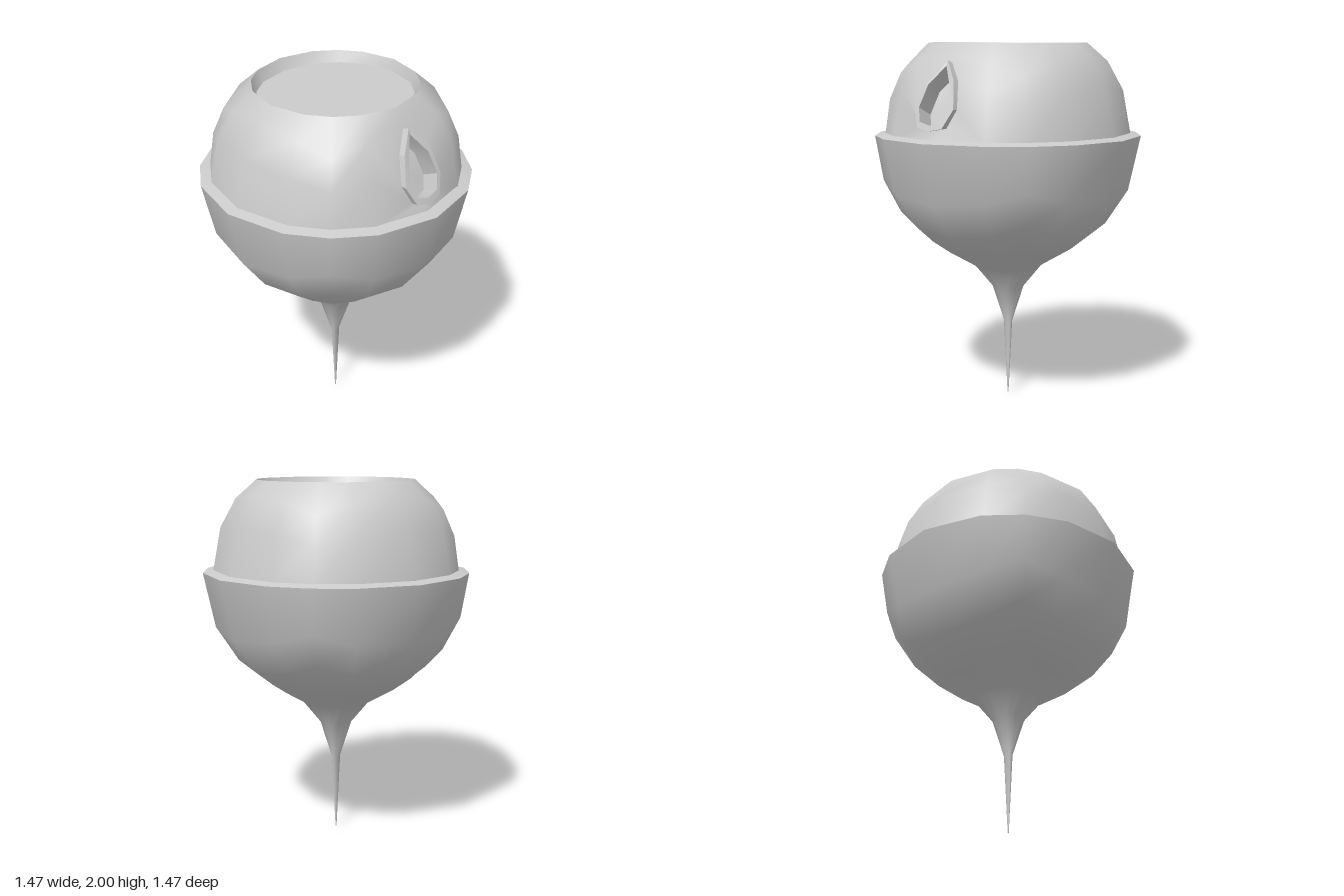
import * as THREE from 'three';
import { mergeGeometries, mergeVertices, toCreasedNormals } from 'three/addons/utils/BufferGeometryUtils.js';

const V = (x, y, z) => new THREE.Vector3(x, y, z);
const EQUATOR = 1.5;

// 16 points around the edge of a square; pushed onto a sphere they give the even, boxy-sphere layout
const wave = (k) => {
  k = ((k % 16) + 16) % 16;
  const v = k <= 8 ? (4 - Math.abs(k - 4)) / 2 : -(4 - Math.abs(k - 12)) / 2;
  return THREE.MathUtils.clamp(v, -1, 1);
};
const around = (fn) => Array.from({ length: 16 }, (_, k) => fn(wave(k), wave(k + 4)));

// ring on a sphere: square of half-width s at height h, projected to radius R
const sphereRing = (R, h, s = 1) => around((x, z) => {
  const p = V(x * s, h, z * s).setLength(R);
  p.y += EQUATOR;
  return p;
});

// horizontal round or oval ring
const ovalRing = (rx, y, rz = rx) => around((x, z) => {
  const l = Math.hypot(x, z);
  return V((x / l) * rx, y, (z / l) * rz);
});

// skin through closed rings, with optional skipped cells and a closing fan at the end
function loft(rings, { skip = () => false, cap = false } = {}) {
  const n = rings[0].length;
  const pts = rings.flat();
  const index = [];
  for (let i = 0; i < rings.length - 1; i++) {
    for (let j = 0; j < n; j++) {
      if (skip(i, j)) continue;
      const a = i * n + j, b = i * n + (j + 1) % n;
      index.push(a, b, b + n, a, b + n, a + n);
    }
  }
  if (cap) {
    const last = rings[rings.length - 1];
    const c = last.reduce((s, p) => s.add(p), V(0, 0, 0)).divideScalar(n);
    const base = (rings.length - 1) * n;
    for (let j = 0; j < n; j++) index.push(base + j, base + (j + 1) % n, pts.length);
    pts.push(c);
  }
  const g = new THREE.BufferGeometry().setFromPoints(pts);
  g.setIndex(index);
  g.computeVertexNormals();
  return g;
}

// teardrop of 8 points, anticlockwise from the bottom, from five points of its right half
const teardrop = (half) => [
  ...half.map((p) => V(...p)),
  ...half.slice(1, 4).reverse().map(([x, y, z]) => V(-x, y, z)),
];

export function createModel() {
  const group = new THREE.Group();
  const material = new THREE.MeshStandardMaterial({ color: 0xcccccc, side: THREE.DoubleSide });
  const add = (name, geometry) => {
    const mesh = new THREE.Mesh(geometry, material);
    mesh.name = name;
    group.add(mesh);
  };

  // lower bowl running down into a thin, flattened spike
  const R = 0.735;
  add('lowerBowl', loft([
    ovalRing(0.003, 0),
    ovalRing(0.028, 0.43, 0.013),
    ovalRing(0.09, 0.635, 0.085),
    ovalRing(0.19, 0.76),
    sphereRing(R, -1, 0.5),
    sphereRing(R, -1),
    sphereRing(R, -0.5),
    sphereRing(R, 0),
  ]));
  add('bowlRim', loft([ovalRing(R, EQUATOR), ovalRing(0.675, 1.515)]));

  // teardrop window outlines: on the shell, front of the frame, and its opening
  const base = teardrop([[0, 1.56, 0.645], [0.08, 1.575, 0.635], [0.125, 1.67, 0.605], [0.09, 1.81, 0.55], [0, 1.9, 0.485]]);
  const front = teardrop([[0, 1.56, 0.685], [0.08, 1.575, 0.675], [0.125, 1.67, 0.635], [0.09, 1.815, 0.585], [0, 1.915, 0.522]]);
  const opening = teardrop([[0, 1.59, 0.675], [0.07, 1.605, 0.665], [0.1, 1.675, 0.635], [0.07, 1.79, 0.595], [0, 1.885, 0.532]]);
  const pane = opening.map((p) => p.clone().add(V(0, -0.042, -0.09)));

  // upper dome, with four front cells left out for the window
  const dome = [
    sphereRing(0.68, 0),
    sphereRing(0.68, 0.435),
    sphereRing(0.68, 0.82),
    ovalRing(0.437, 2),
  ];
  dome[2][0].z = 0.475;
  const shell = loft(dome, { skip: (i, j) => i < 2 && (j === 0 || j === 15) });
  const [d0, d1, d2] = dome;
  const gap = [d0[0], d0[1], d1[1], d2[1], d2[0], d2[15], d1[15], d0[15]];
  const surround = loft([gap, base]);
  const skin = mergeGeometries([shell, surround].map((g) => g.deleteAttribute('normal')));
  const domeGeometry = mergeVertices(skin);
  domeGeometry.computeVertexNormals();
  add('upperDome', domeGeometry);

  // sunken lid in the open top
  add('topRecess', toCreasedNormals(loft([ovalRing(0.437, 2), ovalRing(0.418, 1.94, 0.4)], { cap: true }), 0.6));

  // raised window frame and its sunken pane
  add('windowFrame', toCreasedNormals(loft([base, front, opening, pane]), 0.5));
  add('windowPane', loft([pane], { cap: true }));

  return group;
}
